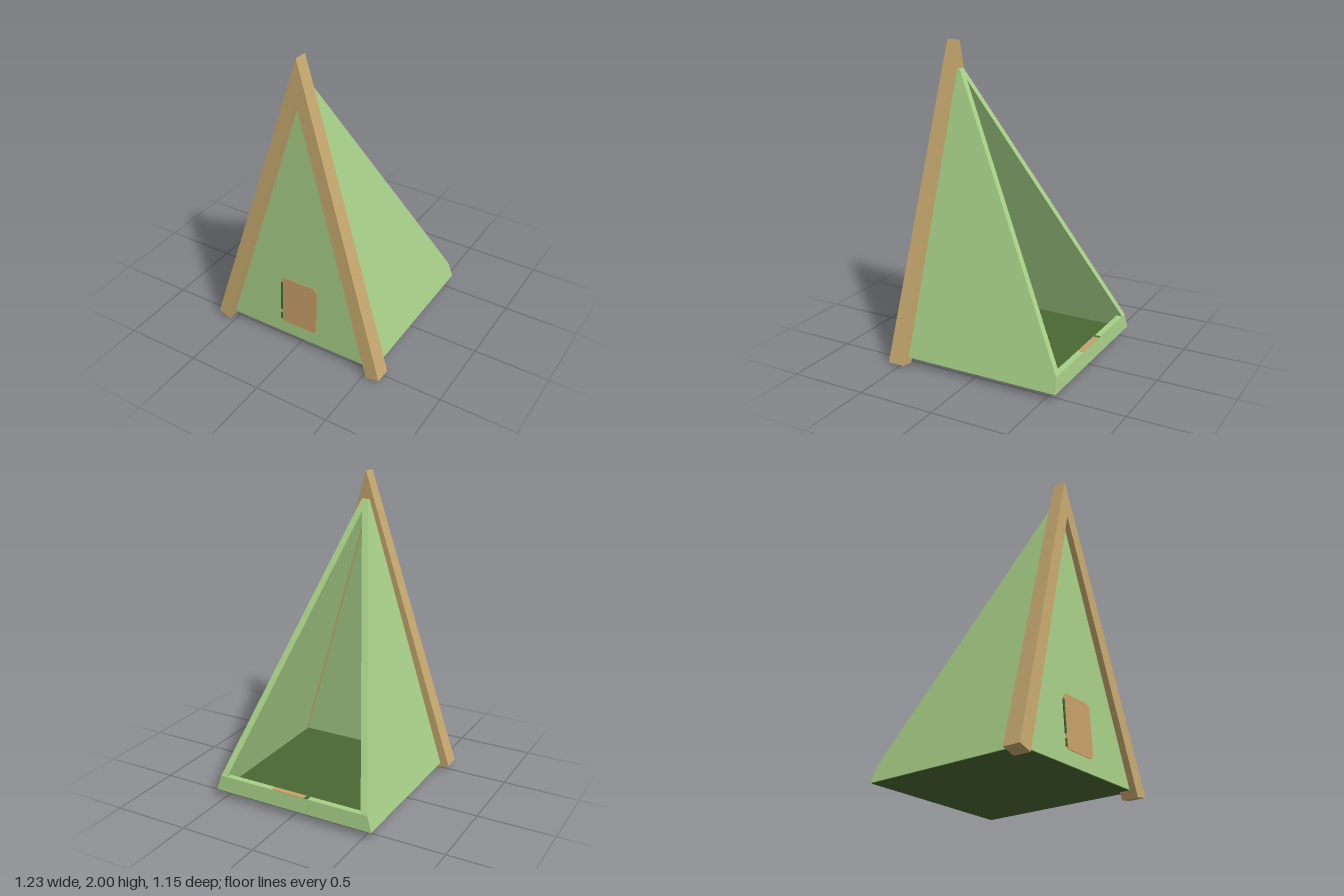
import * as THREE from 'three';

const mat = (name, color) => {
  const m = new THREE.MeshStandardMaterial({ color });
  m.name = name;
  return m;
};

// Solid between two matching loops of corners, with hard edges and outward faces
function loft(a, b) {
  const tris = [];
  const n = a.length;
  for (let i = 1; i < n - 1; i++) tris.push([a[0], a[i], a[i + 1]], [b[0], b[i + 1], b[i]]);
  for (let i = 0; i < n; i++) {
    const j = (i + 1) % n;
    tris.push([a[i], b[i], b[j]], [a[i], b[j], a[j]]);
  }
  let volume = 0;
  for (const [p, q, r] of tris) {
    volume += new THREE.Vector3(...p).dot(new THREE.Vector3(...q).cross(new THREE.Vector3(...r)));
  }
  if (volume < 0) tris.forEach((t) => t.reverse());
  const g = new THREE.BufferGeometry();
  g.setAttribute('position', new THREE.Float32BufferAttribute(tris.flat(2), 3));
  g.computeVertexNormals();
  return g;
}

export function createModel() {
  const group = new THREE.Group();
  const green = mat('canvas green', 0xa8d088);
  const darkGreen = mat('floor green', 0x4a6833);
  const wood = mat('wood', 0xc8aa70);
  const doorTan = mat('door tan', 0xc8a068);

  const add = (name, geometry, material, parent = group) => {
    const mesh = new THREE.Mesh(geometry, material);
    mesh.name = name;
    parent.add(mesh);
    return mesh;
  };
  const box = (name, m, x0, x1, y0, y1, z0, z1, parent) => {
    const mesh = add(name, new THREE.BoxGeometry(x1 - x0, y1 - y0, z1 - z0), m, parent);
    mesh.position.set((x0 + x1) / 2, (y0 + y1) / 2, (z0 + z1) / 2);
    return mesh;
  };

  // Slopes of the tent: side half-width and front plane by height
  const sideX = (y) => 0.555 - 0.3 * (y - 0.05);
  const frontZ = (y) => 0.53 - 0.045 * (y - 0.05);

  // Leaning timber legs meeting at the top
  const poleFront = (y) => 0.576 - 0.048 * y;
  const poleBack = (y) => 0.465 - 0.0375 * y;
  for (const [side, outerY, innerY] of [[1, 0.015, 0], [-1, 0.04, 0.012]]) {
    const outline = [[0, 2], [0, 1.73], [0.525, innerY], [0.615, outerY]];
    add(side > 0 ? 'leftPole' : 'rightPole', loft(
      outline.map(([x, y]) => [side * x, y, poleFront(y)]),
      outline.map(([x, y]) => [side * x, y, poleBack(y)])
    ), wood);
  }

  // Thick side walls, cut off at a slant towards the back
  const profile = [[frontZ(0.05), 0.05], [-0.575, 0.05], [-0.565, 0.15], [0.378, 1.82], [frontZ(1.82), 1.82]];
  for (const side of [1, -1]) {
    add(side > 0 ? 'leftWall' : 'rightWall', loft(
      profile.map(([z, y]) => [side * sideX(y), y, z]),
      profile.map(([z, y]) => [side * (sideX(y) - 0.045), y, z])
    ), green);
  }

  // Front wall
  const frontOutline = [[-1, 0.05], [1, 0.05], [1, 1.82], [-1, 1.82]];
  add('frontWall', loft(
    frontOutline.map(([s, y]) => [s * (sideX(y) - 0.004), y, frontZ(y)]),
    frontOutline.map(([s, y]) => [s * (sideX(y) - 0.004), y, frontZ(y) - 0.04])
  ), green);

  // Low back sill
  const sill = [[0.05, -0.575], [0.15, -0.565], [0.15, -0.525], [0.05, -0.525]];
  add('backSill', loft(
    sill.map(([y, z]) => [sideX(y) - 0.002, y, z]),
    sill.map(([y, z]) => [-sideX(y) + 0.002, y, z])
  ), green);

  // Floor
  box('floor', darkGreen, -0.55, 0.55, 0.047, 0.065, -0.572, 0.526);

  // Door with rounded corners and hinges, lying on the sloping front
  const door = new THREE.Group();
  door.name = 'door';
  door.position.set(0, 0.31, frontZ(0.31));
  door.rotation.x = -Math.atan(0.045);
  group.add(door);
  const w = 0.13, h = 0.17, r = 0.03;
  const shape = new THREE.Shape();
  shape.absarc(w - r, h - r, r, 0, Math.PI / 2);
  shape.absarc(-w + r, h - r, r, Math.PI / 2, Math.PI);
  shape.absarc(-w + r, -h + r, r, Math.PI, Math.PI * 1.5);
  shape.absarc(w - r, -h + r, r, Math.PI * 1.5, Math.PI * 2);
  add('doorPanel', new THREE.ExtrudeGeometry(shape, { depth: 0.004, bevelEnabled: false, curveSegments: 6 }), doorTan, door);
  for (const [y0, y1] of [[-0.155, -0.11], [-0.08, 0.13]]) {
    box('hinge', darkGreen, -0.138, -0.124, y0, y1, 0, 0.006, door);
  }

  // Flap strip on the back sill
  box('sillStrip', doorTan, -0.09, 0.14, 0.15, 0.153, -0.565, -0.53);
  box('sillStripEnd', darkGreen, -0.115, -0.09, 0.15, 0.153, -0.565, -0.53);

  return group;
}
